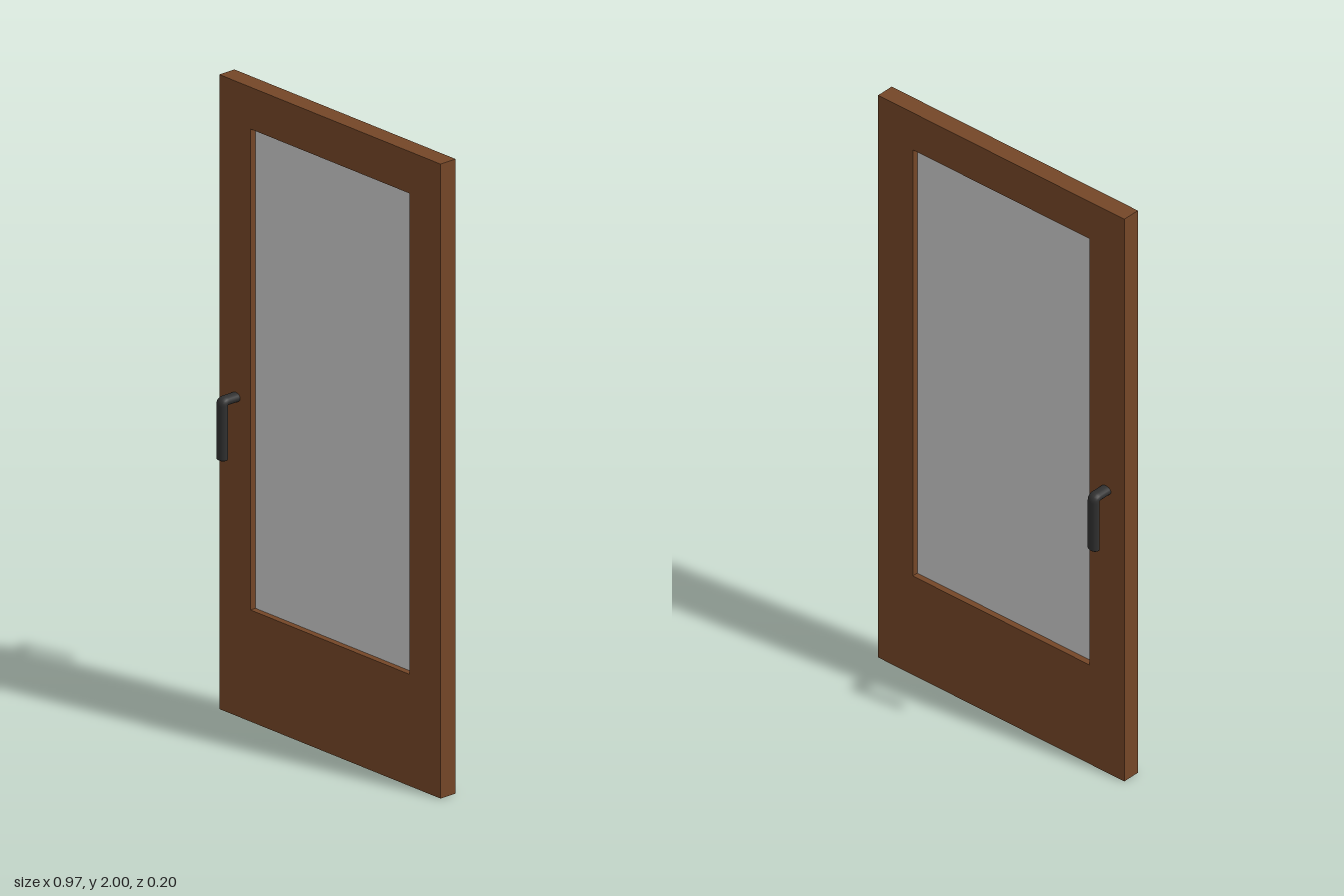
import * as THREE from 'three';

const W = 0.483, T = 0.03;                    // half width, half thickness
const GX = 0.347, GY0 = 0.352, GY1 = 1.868;   // glazed opening

function rectPoints(x0, y0, x1, y1) {
  return [[x0, y0], [x1, y0], [x1, y1], [x0, y1]].map(([x, y]) => new THREE.Vector2(x, y));
}

function createHandle(material) {
  const r = 0.0145, reach = 0.084, top = 1.005, bottom = 0.825, bend = 0.012;
  const handle = new THREE.Group();

  // Neck out of the door, tight bend, then the hanging grip
  const path = new THREE.CurvePath();
  const v = (y, z) => new THREE.Vector3(0, y, z);
  path.add(new THREE.LineCurve3(v(top, T - 0.01), v(top, reach - bend)));
  path.add(new THREE.QuadraticBezierCurve3(v(top, reach - bend), v(top, reach), v(top - bend, reach)));
  path.add(new THREE.LineCurve3(v(top - bend, reach), v(bottom, reach)));
  const lever = new THREE.Mesh(new THREE.TubeGeometry(path, 80, r, 20, false), material);
  lever.name = 'handleLever';

  // Softly rounded lower end
  const tip = new THREE.Mesh(new THREE.SphereGeometry(r, 20, 12), material);
  tip.name = 'handleTip';
  tip.scale.y = 0.45;
  tip.position.copy(v(bottom, reach));

  handle.add(lever, tip);
  handle.scale.x = 1.36;                      // oval section, wider than deep
  handle.position.x = -0.411;
  return handle;
}

export function createModel() {
  const door = new THREE.Group();
  door.name = 'door';
  const wood = new THREE.MeshStandardMaterial({ color: 0x744627 });
  const glass = new THREE.MeshStandardMaterial({ color: 0xcccccc });
  const dark = new THREE.MeshStandardMaterial({ color: 0x303030 });

  // Door leaf with the opening cut through
  const outline = new THREE.Shape(rectPoints(-W, 0, W, 2));
  outline.holes.push(new THREE.Path(rectPoints(-GX, GY0, GX, GY1)));
  const leafGeometry = new THREE.ExtrudeGeometry(outline, { depth: 2 * T, bevelEnabled: false });
  leafGeometry.translate(0, 0, -T);
  const leaf = new THREE.Mesh(leafGeometry, wood);
  leaf.name = 'doorFrame';

  // Recessed pane
  const pane = new THREE.Mesh(new THREE.BoxGeometry(2 * GX, GY1 - GY0, 0.02), glass);
  pane.name = 'glassPane';
  pane.position.y = (GY0 + GY1) / 2;

  // Matching handles on both faces
  const front = createHandle(dark);
  front.name = 'frontHandle';
  const back = createHandle(dark);
  back.name = 'backHandle';
  back.rotation.y = Math.PI;

  door.add(leaf, pane, front, back);
  return door;
}
